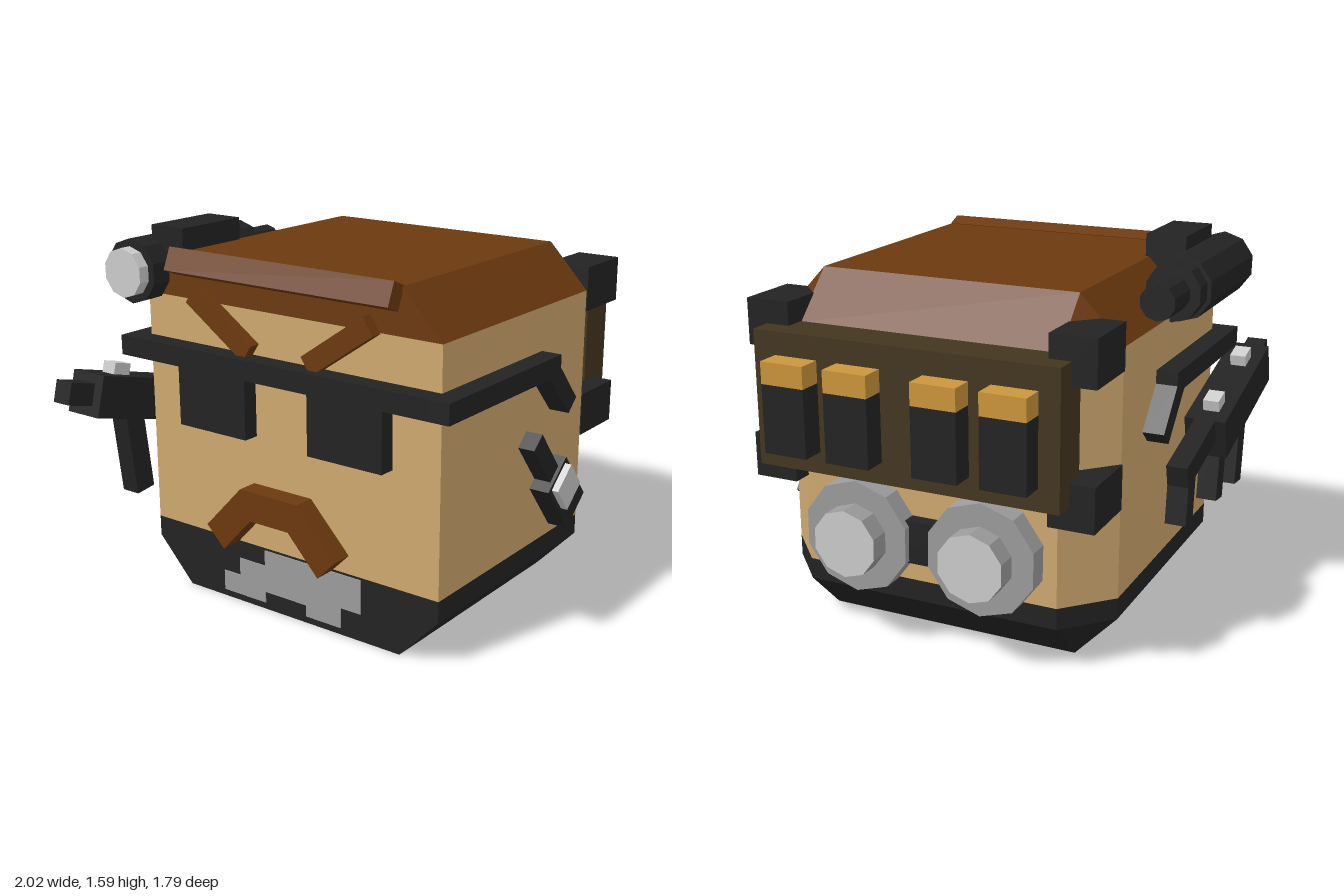
import * as THREE from 'three';
import { ConvexGeometry } from 'three/addons/geometries/ConvexGeometry.js';

const mat = (name, color) => Object.assign(new THREE.MeshStandardMaterial({ color }), { name });

export function createModel() {
  const tan = mat('tan canvas', 0xcfa870), brown = mat('brown leather', 0x6c390f);
  const black = mat('black webbing', 0x232323), olive = mat('olive pouch', 0x44361f);
  const gold = mat('brass', 0xcb953b), gray = mat('gray metal', 0x9c9c9c), light = mat('light metal', 0xcccccc);

  const root = new THREE.Group();
  root.name = 'backpack';

  const add = (name, geo, m, parent = root) => {
    const mesh = new THREE.Mesh(geo, m);
    mesh.name = name;
    parent.add(mesh);
    return mesh;
  };
  // Box given by its extents, optionally tilted around z
  const box = (name, m, [x0, x1], [y0, y1], [z0, z1], tilt = 0, parent = root) => {
    const b = add(name, new THREE.BoxGeometry(x1 - x0, y1 - y0, z1 - z0), m, parent);
    b.position.set((x0 + x1) / 2, (y0 + y1) / 2, (z0 + z1) / 2);
    b.rotation.z = tilt;
    return b;
  };
  // Faceted cylinder along x
  const rod = (name, m, r, x0, x1, y, z, sides = 10) => {
    const g = new THREE.CylinderGeometry(r, r, x1 - x0, sides).toNonIndexed();
    g.computeVertexNormals();
    g.rotateY(0.3).rotateZ(-Math.PI / 2);
    const c = add(name, g, m);
    c.position.set((x0 + x1) / 2, y, z);
    return c;
  };
  const shape = (pts) => new THREE.Shape(pts.map(([x, y]) => new THREE.Vector2(x, y)));
  const slab = (pts, depth) => new THREE.ExtrudeGeometry(shape(pts), { depth, bevelEnabled: false });

  // Main shell: six-sided plan with the two outer corners cut
  const plan = [[-0.58, 0.77], [0.53, 0.77], [0.72, 0.59], [0.72, -0.53], [0.53, -0.71], [-0.58, -0.71]];
  const inner = [[-0.58, 0.59], [0.53, 0.59], [0.53, -0.53], [-0.58, -0.53]];
  const level = (pts, y) => pts.map(([x, z]) => new THREE.Vector3(x, y, z));
  add('base', new ConvexGeometry([...level(inner, 0), ...level(plan, 0.19), ...level(plan, 0.28)]), black);
  add('body', new ConvexGeometry([...level(plan, 0.28), ...level(plan, 1.3)]), tan);
  add('lid', new ConvexGeometry([...level(plan, 1.3), ...level(inner, 1.49)]), brown);
  box('lidRoll', brown, [-0.655, -0.585], [1.41, 1.51], [-0.53, 0.59], -0.4);

  // Corner guards
  for (const z of [[0.585, 0.775], [-0.715, -0.525]])
    for (const y of [[0.655, 0.84], [1.21, 1.4]]) box('cornerGuard', black, [0.53, 0.807], y, z);

  // Cartridge pouch
  box('pouch', olive, [0.72, 0.9], [0.75, 1.305], [-0.615, 0.685]);
  for (const z of [0.495, 0.218, -0.155, -0.435]) {
    const w = [z - 0.094, z + 0.094];
    box('cartridge', black, [0.9, 1], [0.84, 1.12], w);
    box('cartridgeCap', gold, [0.9, 1], [1.12, 1.21], w);
  }

  // Round canisters on the outer side
  for (const z of [0.31, -0.245]) {
    rod('canisterRim', gray, 0.238, 0.7, 0.81, 0.466, z);
    rod('canisterEnd', [gray, light, gray], 0.142, 0.81, 0.9, 0.466, z);
  }
  box('canisterBridge', black, [0.72, 0.78], [0.38, 0.56], [-0.05, 0.12]);

  // Side straps with a bent end, joined by a belt across the wearer's side
  const strap = [[-0.67, 1.03], [0.07, 1.03], [0.245, 0.845], [0.305, 0.9], [0.16, 1.06], [0.16, 1.115], [-0.67, 1.115]];
  for (const z of [0.77, -0.8]) add('sideStrap', slab(strap, 0.09), black).position.z = z;
  box('belt', black, [-0.67, -0.58], [1.03, 1.115], [-0.71, 0.77]);

  // Back pads and slanted shoulder straps
  for (const s of [-1, 1]) {
    const a = 0.03 + s * 0.16, b = 0.03 + s * 0.52;
    box('backPad', black, [-0.65, -0.58], [0.77, 1.04], [Math.min(a, b), Math.max(a, b)]);
    const tie = add('shoulderTie', new THREE.BoxGeometry(0.05, 0.085, 0.36), brown);
    tie.position.set(-0.605, 1.23, 0.02 + s * 0.3);
    tie.rotation.x = -s * 0.6;
  }

  // Arched handle low on the wearer's side
  const arch = [[-0.34, 0.36], [-0.25, 0.27], [-0.1, 0.43], [0.1, 0.43], [0.25, 0.27], [0.34, 0.36], [0.15, 0.56], [-0.15, 0.56]];
  const handle = add('handle', slab(arch, 0.09), brown);
  handle.rotation.y = -Math.PI / 2;
  handle.position.x = -0.58;

  // Worn metal plate under the handle
  const worn = [[-0.33, 0.03], [-0.1, 0.03], [-0.1, 0.08], [0.12, 0.08], [0.12, 0.03], [0.3, 0.03], [0.3, 0.12],
    [0.4, 0.12], [0.4, 0.27], [-0.1, 0.27], [-0.1, 0.2], [-0.24, 0.2], [-0.24, 0.12], [-0.33, 0.12]];
  const plate = add('wornPlate', slab(worn, 0.004), gray);
  plate.rotation.y = -Math.PI / 2;
  plate.position.x = -0.58;

  // Hand lamp clipped to the front
  const torch = new THREE.Group();
  torch.name = 'handLamp';
  torch.position.set(0.26, 0.487, 0.77);
  torch.rotation.z = -0.88;
  root.add(torch);
  box('lampBody', black, [-0.139, 0.139], [-0.093, 0.093], [0, 0.09], 0, torch);
  box('lampGrip', black, [-0.37, -0.139], [-0.042, 0.042], [0, 0.075], 0, torch);
  box('lampFace', light, [-0.125, 0.015], [-0.07, 0.07], [0.09, 0.12], 0, torch);
  box('lampSide', light, [-0.08, 0.05], [0.093, 0.1], [0.01, 0.075], 0, torch);

  // Spotlight lying along the back upper edge
  rod('spotBody', black, 0.137, -0.67, -0.07, 1.4, -0.72);
  rod('spotCollar', black, 0.12, -0.07, 0.02, 1.4, -0.72);
  rod('spotTail', black, 0.075, 0.02, 0.205, 1.4, -0.72);
  rod('spotLens', light, 0.105, -0.72, -0.67, 1.4, -0.72);
  box('spotMount', black, [-0.57, -0.22], [1.45, 1.585], [-0.69, -0.515]);

  // Slung gun on the back face
  const gun = new THREE.Group();
  gun.name = 'gun';
  gun.position.set(-0.53, 0.81, -0.81);
  gun.rotation.z = -0.26;
  root.add(gun);
  box('receiver', black, [-0.36, 0.32], [-0.09, 0.09], [-0.09, 0.09], 0, gun);
  box('barrel', black, [-0.49, -0.36], [-0.045, 0.05], [-0.045, 0.045], 0, gun);
  box('stock', black, [0.32, 0.69], [-0.01, 0.09], [-0.045, 0.045], 0, gun);
  for (const u of [-0.2, 0.2]) box('sight', light, [u - 0.045, u + 0.045], [0.09, 0.14], [-0.04, 0.03], 0, gun);
  box('stockEnd', black, [0.05, 0.14], [0.46, 0.7], [-0.855, -0.765], 0.1);
  box('grip', black, [-0.38, -0.29], [0.42, 0.75], [-0.855, -0.765], 0.12);
  box('magazine', black, [-0.68, -0.58], [0.4, 0.8], [-0.855, -0.765], 0.12);

  return root;
}
